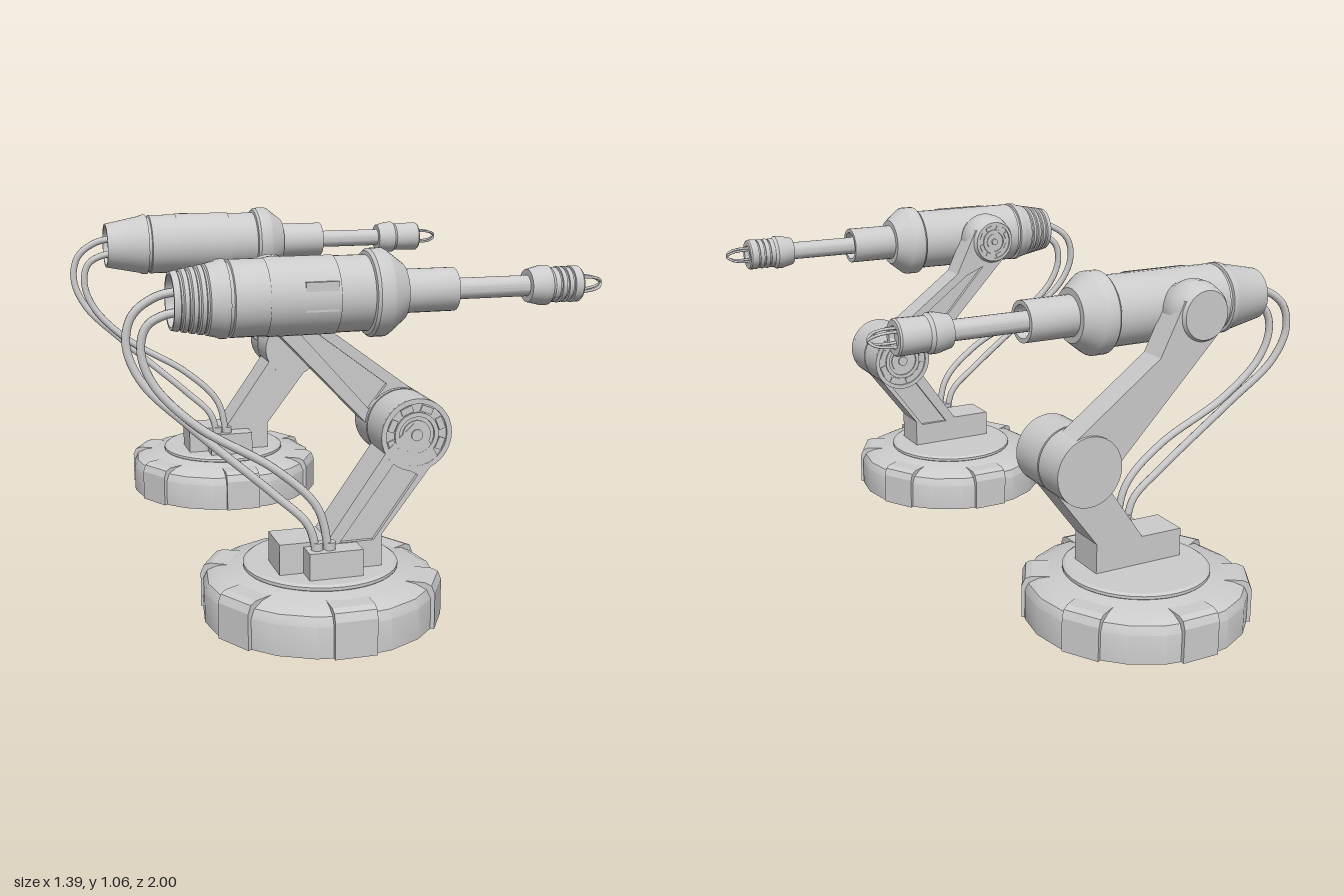
import * as THREE from 'three';
import { toCreasedNormals } from 'three/addons/utils/BufferGeometryUtils.js';

const material = new THREE.MeshStandardMaterial({ color: 0xcccccc });
const openMaterial = new THREE.MeshStandardMaterial({ color: 0xcccccc, side: THREE.DoubleSide });
const AXIS_Y = 0.94, AXIS_Z = 0.065;      // centre line of the forearm
const ELBOW = [0.115, 0.537], SHOULDER = [-0.26, 0.945];

function add(parent, name, geometry, pos = [0, 0, 0], mat = material) {
  const mesh = new THREE.Mesh(geometry, mat);
  mesh.name = name;
  mesh.position.set(...pos);
  parent.add(mesh);
  return mesh;
}

const vec2 = (list) => list.map(([x, y]) => new THREE.Vector2(x, y));

// Turned part from [radius, height] pairs, with sharp edges kept
const turned = (profile, sides = 32) =>
  toCreasedNormals(new THREE.LatheGeometry(vec2(profile), sides), 0.5);

// Turned part along x from [x, radius] pairs
const turnedX = (profile, sides) =>
  turned(profile.map(([x, r]) => [r, x]), sides).rotateZ(-Math.PI / 2);

// Turned part along z from [z, radius] pairs
const turnedZ = (profile, sides) =>
  turned(profile.map(([z, r]) => [r, z]), sides).rotateX(Math.PI / 2);

// Flat plate in xy between two z values, optionally with a hole
function plate(outline, z0, z1, hole) {
  const shape = new THREE.Shape(vec2(outline));
  if (hole) shape.holes.push(new THREE.Path(vec2(hole)));
  return new THREE.ExtrudeGeometry(shape, { depth: z1 - z0, bevelEnabled: false }).translate(0, 0, z0);
}

// Arm link; the detailed kind has a sunken panel on both faces
function addLink(parent, name, outline, panel, z0, z1, detailed) {
  const d = detailed ? 0.012 : 0;
  add(parent, name, plate(outline, z0 + d, z1 - d));
  if (!detailed) return;
  add(parent, name + 'FrontFrame', plate(outline, z1 - d, z1, panel));
  add(parent, name + 'BackFrame', plate(outline, z0, z0 + d, panel));
}

// Round bearing face: rim, slotted ring, hub and pin, facing +z or -z
function addBearing(parent, name, [x, y], z, r, facing) {
  const group = new THREE.Group();
  group.name = name;
  group.position.set(x, y, z);
  if (facing < 0) group.rotation.y = Math.PI;
  parent.add(group);
  add(group, 'rim', turnedZ([[-0.01, r * 0.86], [-0.01, r], [0.006, r], [0.006, r * 0.86], [-0.01, r * 0.86]]));
  add(group, 'innerRing', turnedZ([[-0.01, r * 0.5], [-0.01, r * 0.62], [0.006, r * 0.62], [0.006, r * 0.5], [-0.01, r * 0.5]]));
  add(group, 'hub', turnedZ([[-0.01, r * 0.4], [0.004, r * 0.4], [0.004, r * 0.16], [0.01, r * 0.16], [0.01, 0]], 20));
  for (let i = 0; i < 8; i++) {
    const a = (i + 0.5) * Math.PI / 4;
    const tooth = add(group, 'tooth', new THREE.BoxGeometry(r * 0.18, r * 0.34, 0.014),
      [Math.cos(a) * r * 0.73, Math.sin(a) * r * 0.73, -0.003]);
    tooth.rotation.z = a;
  }
}

function addBase(arm) {
  add(arm, 'baseShell', turned([[0.342, 0], [0.342, 0.09], [0.33, 0.115], [0.3, 0.13], [0.22, 0.145]], 20),
    [-0.135, 0, 0], openMaterial);
  add(arm, 'turntable', turned([[0, 0.135], [0.215, 0.135], [0.224, 0.146], [0.224, 0.155], [0.215, 0.161], [0, 0.161]], 40),
    [-0.135, 0, 0]);
  // Six lugs around the rim
  const side = [[0.255, 0], [0.345, 0], [0.345, 0.105], [0.335, 0.128], [0.315, 0.136], [0.255, 0.136]];
  for (let i = 0; i < 6; i++) {
    const lug = new THREE.Group();
    lug.name = 'baseLug';
    lug.position.x = -0.135;
    lug.rotation.y = Math.PI / 6 + i * Math.PI / 3;
    arm.add(lug);
    add(lug, 'lugBlock', plate(side, -0.06, 0.06));
  }
}

function addLinks(arm, detailed) {
  const lower = [[-0.285, 0.155], [0.015, 0.155], [0.015, 0.255], [0.18, 0.47], [0.115, 0.58], [0.03, 0.5], [-0.145, 0.25], [-0.285, 0.25]];
  addLink(arm, 'lowerLink', lower, [[-0.11, 0.24], [-0.01, 0.24], [0.12, 0.42], [0.05, 0.46]], -0.015, 0.109, detailed);
  const upper = [[0.03, 0.525], [0.19, 0.6], [0.16, 0.63], [-0.115, 0.835], [-0.19, 0.99], [-0.3, 1.0], [-0.335, 0.91]];
  addLink(arm, 'upperLink', upper, [[0.02, 0.585], [0.075, 0.655], [-0.15, 0.825], [-0.22, 0.855]], -0.12, -0.035, detailed);

  // Elbow drum with a seam between the two links
  const r = 0.105, f = detailed ? 0.104 : 0.11, b = detailed ? -0.124 : -0.13;
  add(arm, 'elbowDrum', turnedZ([[b, 0], [b, r], [-0.022, r], [-0.022, r - 0.006], [-0.016, r - 0.006], [-0.016, r], [f, r], [f, 0]], 36),
    [...ELBOW, 0]);
  // Shoulder joint narrowing toward the outer face and into the forearm
  add(arm, 'shoulderJoint', turnedZ([[-0.13, 0], [-0.13, 0.072], [-0.115, 0.082], [-0.08, 0.092], [-0.045, 0.092], [0.02, 0.065], [0.02, 0]]),
    [...SHOULDER, 0]);
  if (detailed) {
    addBearing(arm, 'elbowFrontBearing', ELBOW, f, r, 1);
    addBearing(arm, 'elbowBackBearing', ELBOW, b, r, -1);
    addBearing(arm, 'shoulderBearing', SHOULDER, -0.129, 0.072, -1);
  }
}

function addForearm(arm, detailed) {
  const forearm = new THREE.Group();
  forearm.name = 'forearm';
  forearm.position.set(0, AXIS_Y, AXIS_Z);
  arm.add(forearm);

  // Tapered rear cap, open at the back for the cables
  const cap = [[-0.53, 0], [-0.53, 0.066], [-0.57, 0.07], [-0.57, 0.078]];
  for (let i = 0; i < 4 && detailed; i++) {
    const x = -0.553 + i * 0.022, r = 0.082 + i * 0.004;
    cap.push([x, r], [x + 0.003, r - 0.005], [x + 0.008, r - 0.005], [x + 0.011, r + 0.002]);
  }
  cap.push([-0.45, 0.102], [-0.44, 0.107], [-0.425, 0.107], [-0.424, 0.098], [-0.415, 0.098]);
  add(forearm, 'rearCap', turnedX(cap), undefined, openMaterial);
  add(forearm, 'housing', turnedX([[-0.415, 0.098], [-0.413, 0.105], [-0.03, 0.105]], 36));
  add(forearm, 'collar', turnedX([[-0.03, 0.1], [-0.028, 0.115], [-0.02, 0.122], [0.018, 0.122], [0.026, 0.118], [0.075, 0.08], [0.075, 0.058]], 36));
  add(forearm, 'sleeve', turnedX([[0.07, 0.061], [0.23, 0.061], [0.23, 0.048], [0.19, 0.048], [0.19, 0]]), undefined, openMaterial);
  add(forearm, 'rod', turnedX([[0.18, 0.03], [0.46, 0.03]], 24));

  // Curved cover over the front half of the housing
  const cover = new THREE.CylinderGeometry(0.108, 0.108, 0.194, 24, 1, true, 0, Math.PI);
  cover.rotateZ(Math.PI / 2).rotateX(-Math.PI / 2);
  cover.computeBoundingBox();
  if (cover.boundingBox.max.z < 0.05) cover.rotateX(Math.PI);
  add(forearm, 'coverPanel', cover, [-0.223, 0, 0], openMaterial);
  if (detailed) add(forearm, 'coverHatch', new THREE.BoxGeometry(0.09, 0.08, 0.02), [-0.18, 0.01, 0.095]);

  // Tool head
  const head = [[0.455, 0.028], [0.455, 0.047], [0.495, 0.057], [0.515, 0.057], [0.525, 0.05]];
  for (let i = 0; i < 3 && detailed; i++) {
    const x = 0.54 + i * 0.02;
    head.push([x, 0.05], [x, 0.045], [x + 0.006, 0.045], [x + 0.006, 0.052]);
  }
  head.push([0.61, 0.052], [0.615, 0.048], [0.615, 0.032], [0.6, 0.03], [0.6, 0]);
  add(forearm, 'toolHead', turnedX(head, 28), undefined, openMaterial);

  // Two crossed wire loops at the tip
  const loopPath = new THREE.CatmullRomCurve3([[0.6, -0.028], [0.64, -0.028], [0.675, -0.018], [0.688, 0], [0.675, 0.018], [0.64, 0.028], [0.6, 0.028]]
    .map(([x, y]) => new THREE.Vector3(x, y, 0)));
  for (const turn of [1, -1])
    add(forearm, 'tipLoop', new THREE.TubeGeometry(loopPath, 24, 0.004, 8)).rotation.x = turn * Math.PI / 4;
}

function addCables(arm) {
  add(arm, 'cableSocket', new THREE.BoxGeometry(0.155, 0.08, 0.065), [-0.138, 0.198, 0.14]);
  const paths = [
    [[-0.52, 0.965, 0.05], [-0.6, 0.95, 0.04], [-0.665, 0.9, 0.03], [-0.683, 0.82, 0.03], [-0.645, 0.72, 0.045], [-0.52, 0.595, 0.08],
      [-0.3, 0.4, 0.12], [-0.21, 0.31, 0.135], [-0.185, 0.22, 0.138]],
    [[-0.52, 0.915, 0.085], [-0.59, 0.905, 0.08], [-0.635, 0.875, 0.072], [-0.65, 0.81, 0.07], [-0.62, 0.72, 0.078], [-0.51, 0.605, 0.1],
      [-0.3, 0.475, 0.13], [-0.185, 0.36, 0.14], [-0.15, 0.22, 0.142]],
  ];
  for (const points of paths) {
    const curve = new THREE.CatmullRomCurve3(points.map((p) => new THREE.Vector3(...p)));
    add(arm, 'cable', new THREE.TubeGeometry(curve, 64, 0.012, 10));
    const end = points[points.length - 1];
    add(arm, 'cableGland', new THREE.CylinderGeometry(0.017, 0.017, 0.03, 12), [end[0], 0.245, end[2]]);
  }
}

function createArm(name, z, detailed) {
  const arm = new THREE.Group();
  arm.name = name;
  arm.position.z = z;
  addBase(arm);
  addLinks(arm, detailed);
  addForearm(arm, detailed);
  addCables(arm);
  return arm;
}

export function createModel() {
  const model = new THREE.Group();
  model.name = 'robotArms';
  model.add(createArm('frontArm', 0.655, true), createArm('rearArm', -0.655, false));
  return model;
}
